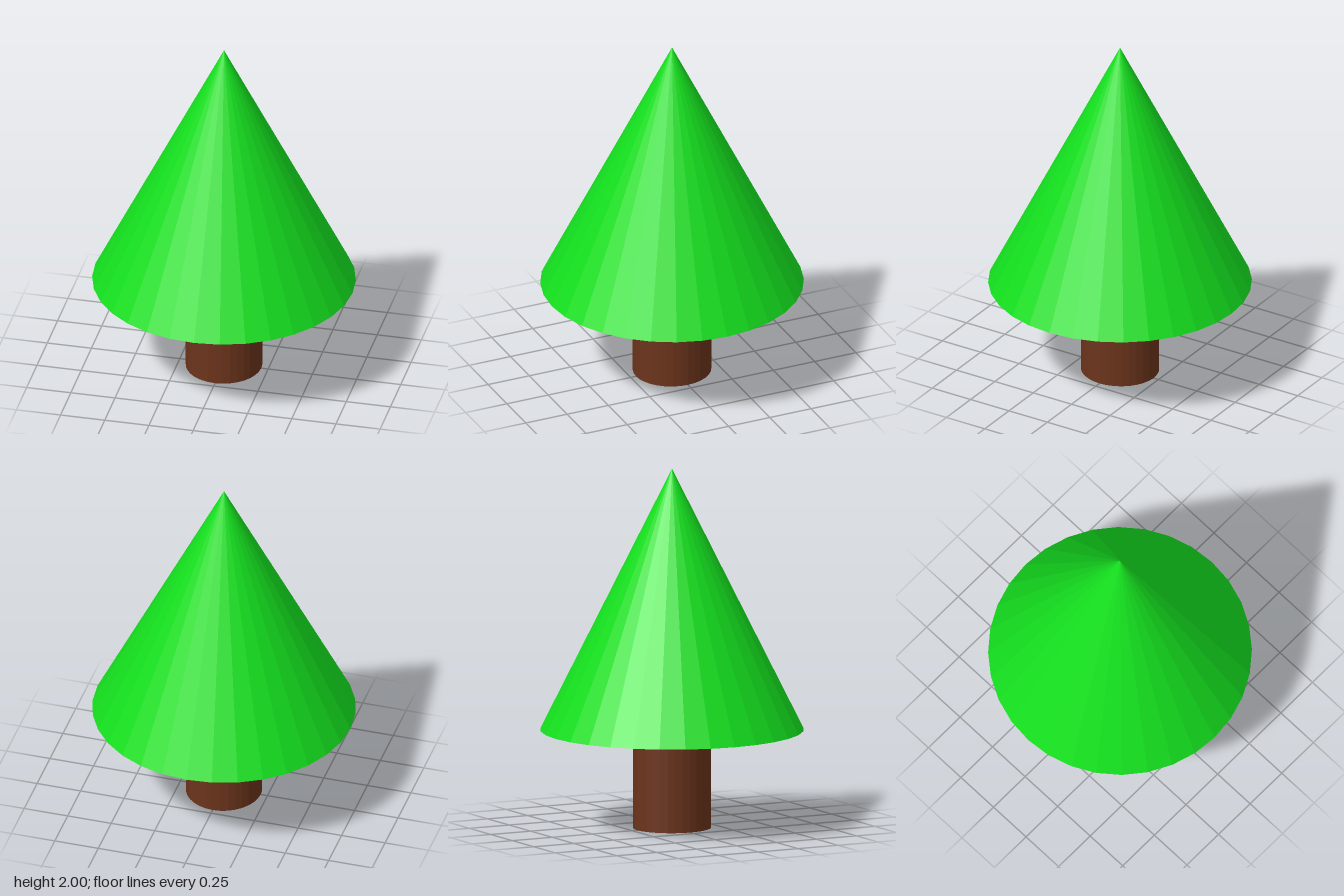
import * as THREE from 'three';

const SIDES = 32;
const BASE_Y = 0.546; // underside of the foliage
const TOP_Y = 2;

function addPart(group, name, geometry, color, y) {
  const material = new THREE.MeshStandardMaterial({ color, flatShading: true });
  const mesh = new THREE.Mesh(geometry, material);
  mesh.name = name;
  mesh.position.y = y;
  group.add(mesh);
  return mesh;
}

export function createModel() {
  const tree = new THREE.Group();
  tree.name = 'tree';

  // Slightly oval trunk, ending at the foliage
  const trunk = addPart(tree, 'trunk',
    new THREE.CylinderGeometry(1, 1, BASE_Y, SIDES), 0x6b341b, BASE_Y / 2);
  trunk.scale.set(0.211, 1, 0.218);

  // Faceted cone of foliage with a closed underside
  const height = TOP_Y - BASE_Y;
  addPart(tree, 'foliage',
    new THREE.ConeGeometry(0.727, height, SIDES), 0x14e01e, BASE_Y + height / 2);

  return tree;
}
